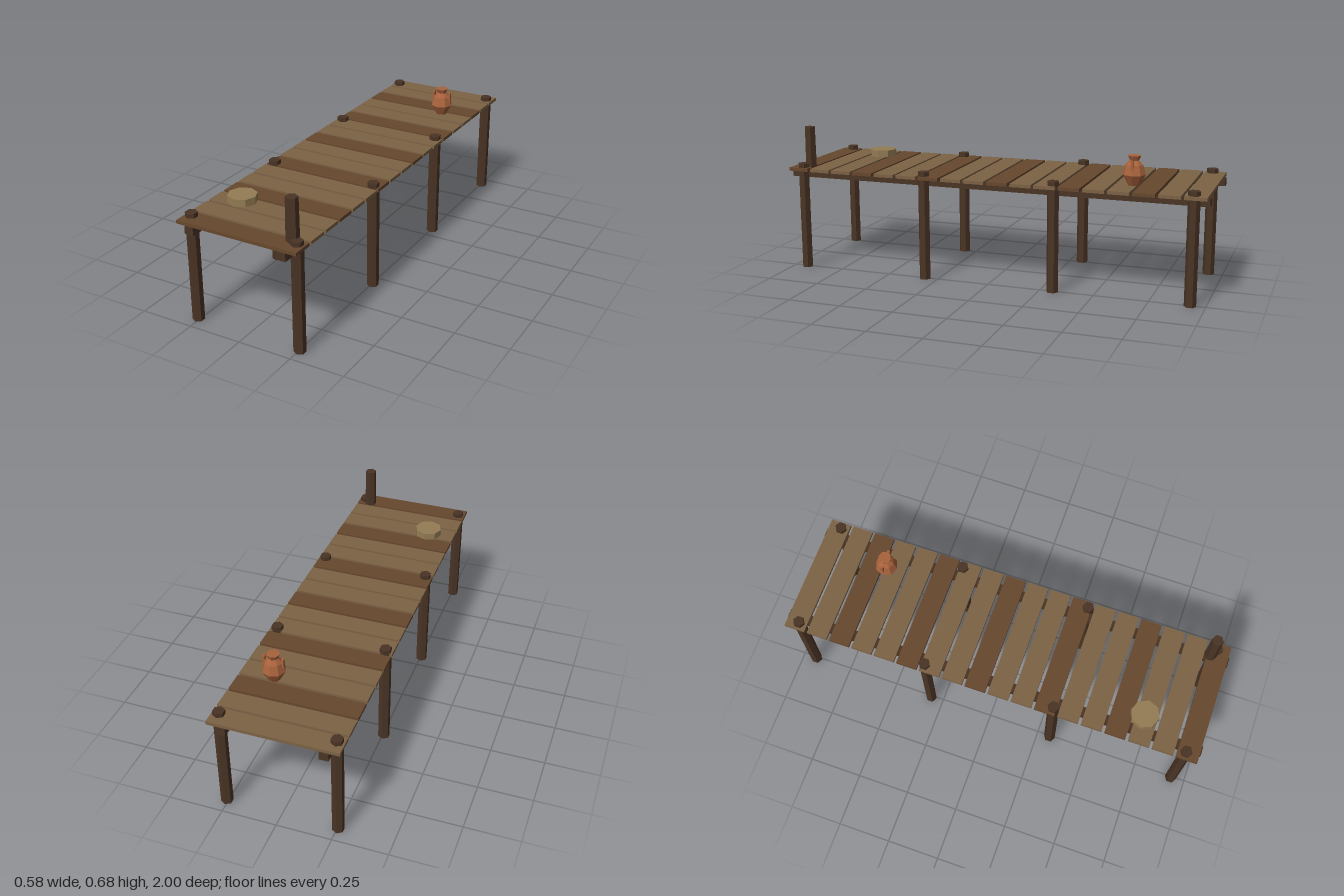
import * as THREE from 'three';

const material = (color) => new THREE.MeshStandardMaterial({ color, flatShading: true });

export function createModel() {
  const model = new THREE.Group();
  model.name = 'dock';
  const lightWood = material(0x7c6245);
  const darkWood = material(0x67472d);
  const pileWood = material(0x4a3425);
  const ropeTan = material(0x947c54);
  const clay = material(0xa8623c);

  const add = (parent, name, geometry, mat, x, y, z) => {
    const mesh = new THREE.Mesh(geometry, mat);
    mesh.name = name;
    mesh.position.set(x, y, z);
    parent.add(mesh);
    return mesh;
  };

  const deckTop = 0.491;

  // Deck planks, every third one darker
  const plankGeo = new THREE.BoxGeometry(0.578, 0.015, 0.098);
  for (let i = 0; i < 18; i++) {
    add(model, 'plank', plankGeo, i % 3 === 2 ? darkWood : lightWood, 0, deckTop - 0.0075, -1 + (i + 0.5) / 9);
  }

  // Long beams and hexagonal piles on both sides
  const beamGeo = new THREE.BoxGeometry(0.042, 0.035, 2);
  const pileGeo = new THREE.CylinderGeometry(0.027, 0.027, 0.511, 6);
  for (const side of [-1, 1]) {
    add(model, 'beam', beamGeo, pileWood, side * 0.222, 0.4595, 0);
    for (const z of [-0.933, -0.311, 0.311, 0.933]) {
      add(model, 'pile', pileGeo, pileWood, side * 0.256, 0.2555, z);
    }
  }

  // Mooring post at the front left corner
  add(model, 'mooringPost', new THREE.CylinderGeometry(0.0268, 0.029, 0.192, 6), pileWood, 0.222, deckTop + 0.096, 0.911);

  // Rope coil
  add(model, 'ropeCoil', new THREE.CylinderGeometry(0.066, 0.066, 0.033, 8), ropeTan, -0.157, deckTop + 0.0165, 0.71);

  // Clay jar with flared rim and two handles
  const jar = new THREE.Group();
  jar.name = 'jar';
  jar.position.set(0.132, deckTop, -0.645);
  model.add(jar);
  const profile = [[0, 0], [0.026, 0], [0.053, 0.049], [0.04, 0.092], [0.021, 0.112], [0.03, 0.133], [0, 0.133]];
  add(jar, 'jarBody', new THREE.LatheGeometry(profile.map(([r, y]) => new THREE.Vector2(r, y)), 8), clay, 0, 0, 0);
  const handleGeo = new THREE.BoxGeometry(0.011, 0.045, 0.013);
  for (const side of [-1, 1]) add(jar, 'jarHandle', handleGeo, clay, side * 0.043, 0.093, 0);

  return model;
}
